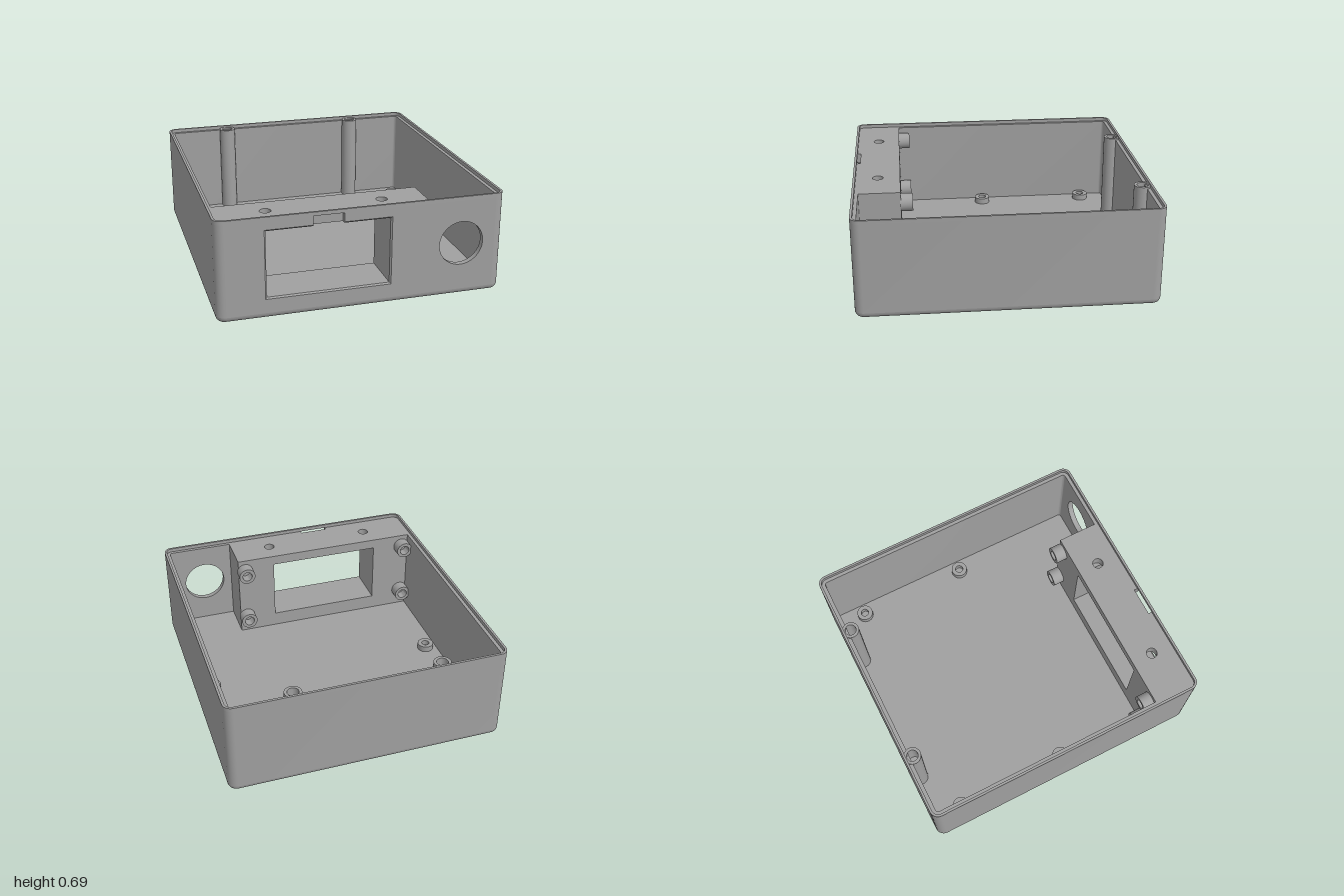
import * as THREE from 'three';
import { toCreasedNormals } from 'three/addons/utils/BufferGeometryUtils.js';

const W = 0.95, D = 1, R = 0.06;          // half width, half depth, corner radius
const WALL = 0.04, FLOOR = 0.04, STEP = 0.66, TOP = 0.685;
const WIN = { l: -0.63, r: 0.175, b: 0.145, t: 0.59 };
const NOTCH = { l: -0.33, r: -0.13 };

// Rounded rectangle inset by d, as (x, z) points from the front edge round to the front edge
function outline(d) {
  const pts = [], n = 8, r = R - d;
  [[1, 1], [1, -1], [-1, -1], [-1, 1]].forEach(([sx, sz], k) => {
    for (let i = 0; i <= n; i++) {
      const a = (Math.PI / 2) * (1 - k - i / n);
      pts.push(new THREE.Vector2(sx * (W - R) + r * Math.cos(a), sz * (D - R) + r * Math.sin(a)));
    }
  });
  return pts;
}

// Sweep a profile of [inset, y] round the outline; open leaves the front free
function sweepWall(profile, closed) {
  const pos = [], index = [];
  const n = outline(0).length;
  for (const [d, y] of profile) outline(d).forEach((p) => pos.push(p.x, y, p.y));
  for (let i = 0; i < profile.length - 1; i++) {
    for (let j = 0; j < (closed ? n : n - 1); j++) {
      const k = (j + 1) % n;
      const a = i * n + j, b = i * n + k, c = b + n, e = a + n;
      index.push(a, b, c, a, c, e);
    }
  }
  const g = new THREE.BufferGeometry();
  g.setAttribute('position', new THREE.Float32BufferAttribute(pos, 3));
  g.setIndex(index);
  return toCreasedNormals(g, 0.5);
}

const polygon = (pts) => new THREE.Shape(pts.map(([x, y]) => new THREE.Vector2(x, y)));

function circleHole(shape, x, y, r) {
  const h = new THREE.Path();
  h.absarc(x, y, r, 0, Math.PI * 2, true);
  shape.holes.push(h);
}

function extrude(shape, depth) {
  const g = new THREE.ExtrudeGeometry(shape, { depth, bevelEnabled: false, curveSegments: 32 });
  return toCreasedNormals(g, 0.5);
}

// Round boss along y with a blind hole in its end
function boss(r, hole, height, bottom) {
  const p = [[r, 0], [r, height], [hole, height], [hole, bottom], [0, bottom]];
  return toCreasedNormals(new THREE.LatheGeometry(p.map(([x, y]) => new THREE.Vector2(x, y)), 32), 0.5);
}

export function createModel() {
  const model = new THREE.Group();
  model.name = 'enclosure';
  const grey = new THREE.MeshStandardMaterial({ color: 0xa0a0a0 });
  grey.name = 'grey plastic';
  grey.side = THREE.DoubleSide;

  function add(name, geometry, x = 0, y = 0, z = 0) {
    const m = new THREE.Mesh(geometry, grey);
    m.name = name;
    m.position.set(x, y, z);
    model.add(m);
    return m;
  }

  // Floor plate and its rounded bottom edge
  const floor = extrude(new THREE.Shape(outline(WALL)), FLOOR);
  floor.rotateX(Math.PI / 2);
  add('floor', floor, 0, FLOOR, 0);
  const fillet = [];
  for (let i = 0; i <= 6; i++) {
    const a = (i / 6) * Math.PI / 2;
    fillet.push([WALL * (1 - Math.sin(a)), WALL * (1 - Math.cos(a))]);
  }
  add('bottomEdge', sweepWall(fillet, true));

  // Side and back walls, then the thin lip round the top
  add('walls', sweepWall([[0, FLOOR], [0, STEP], [WALL, STEP], [WALL, FLOOR]], false));
  const lip = 0.016;
  add('lip', sweepWall([[0, STEP], [0, TOP], [lip, TOP], [lip, STEP], [0, STEP]], true));

  // Front wall in two layers: window with a notch above it, and a round opening
  const frontLayer = (grow, depth) => {
    const l = WIN.l - grow, r = WIN.r + grow, b = WIN.b - grow, t = WIN.t + grow, e = W - R;
    const s = polygon([[-e, FLOOR], [e, FLOOR], [e, STEP], [NOTCH.r, STEP], [NOTCH.r, t], [r, t],
      [r, b], [l, b], [l, t], [NOTCH.l, t], [NOTCH.l, STEP], [-e, STEP]]);
    circleHole(s, 0.66, 0.365, 0.15);
    return extrude(s, depth);
  };
  const bevel = 0.01;
  add('frontWall', frontLayer(0, WALL - bevel), 0, 0, D - WALL);
  add('frontWallFace', frontLayer(bevel, bevel), 0, 0, D - bevel);

  // Bevel round the window, broken by the notch
  const ring = (g) => [[NOTCH.l, WIN.t + g], [WIN.l - g, WIN.t + g], [WIN.l - g, WIN.b - g],
    [WIN.r + g, WIN.b - g], [WIN.r + g, WIN.t + g], [NOTCH.r, WIN.t + g]];
  const outer = ring(bevel), inner = ring(0), bevelPos = [];
  for (let i = 0; i < 5; i++) {
    const a = [...outer[i], D], b = [...outer[i + 1], D];
    const c = [...inner[i + 1], D - bevel], e = [...inner[i], D - bevel];
    bevelPos.push(...a, ...b, ...c, ...a, ...c, ...e);
  }
  const bevelGeo = new THREE.BufferGeometry();
  bevelGeo.setAttribute('position', new THREE.Float32BufferAttribute(bevelPos, 3));
  bevelGeo.computeVertexNormals();
  add('windowBevel', bevelGeo);

  // Block behind the window: sill and pillars, with a drilled bar on top
  const bl = -0.91, br = 0.45, z0 = 0.68, z1 = D - WALL;
  const frame = polygon([[bl, FLOOR], [br, FLOOR], [br, WIN.t], [WIN.r, WIN.t], [WIN.r, WIN.b],
    [WIN.l, WIN.b], [WIN.l, WIN.t], [bl, WIN.t]]);
  add('blockFrame', extrude(frame, z1 - z0), 0, 0, z0);
  const bar = polygon([[bl, z0], [br, z0], [br, z1], [bl, z1]]);
  for (const x of [-0.595, 0.167]) circleHole(bar, x, 0.832, 0.037);
  const barGeo = extrude(bar, STEP - WIN.t);
  barGeo.rotateX(Math.PI / 2);
  add('blockTop', barGeo, 0, STEP, 0);

  // Horizontal bosses on the back of the block
  const sideBoss = boss(0.06, 0.036, 0.085, 0.01);
  for (const x of [-0.86, 0.4]) {
    for (const y of [0.17, 0.57]) add('blockBoss', sideBoss, x, y, z0 + 0.005).rotation.x = -Math.PI / 2;
  }

  // Low standoffs on the floor and tall screw posts at the back wall
  const standoff = boss(0.058, 0.028, 0.045, 0.006);
  const post = boss(0.058, 0.038, 0.632, 0.45);
  for (const s of [-1, 1]) {
    for (const z of [-0.77, 0.03]) add('standoff', standoff, s * 0.827, FLOOR - 0.002, z);
    add('screwPost', post, s * 0.5, FLOOR, -0.94);
  }
  return model;
}
